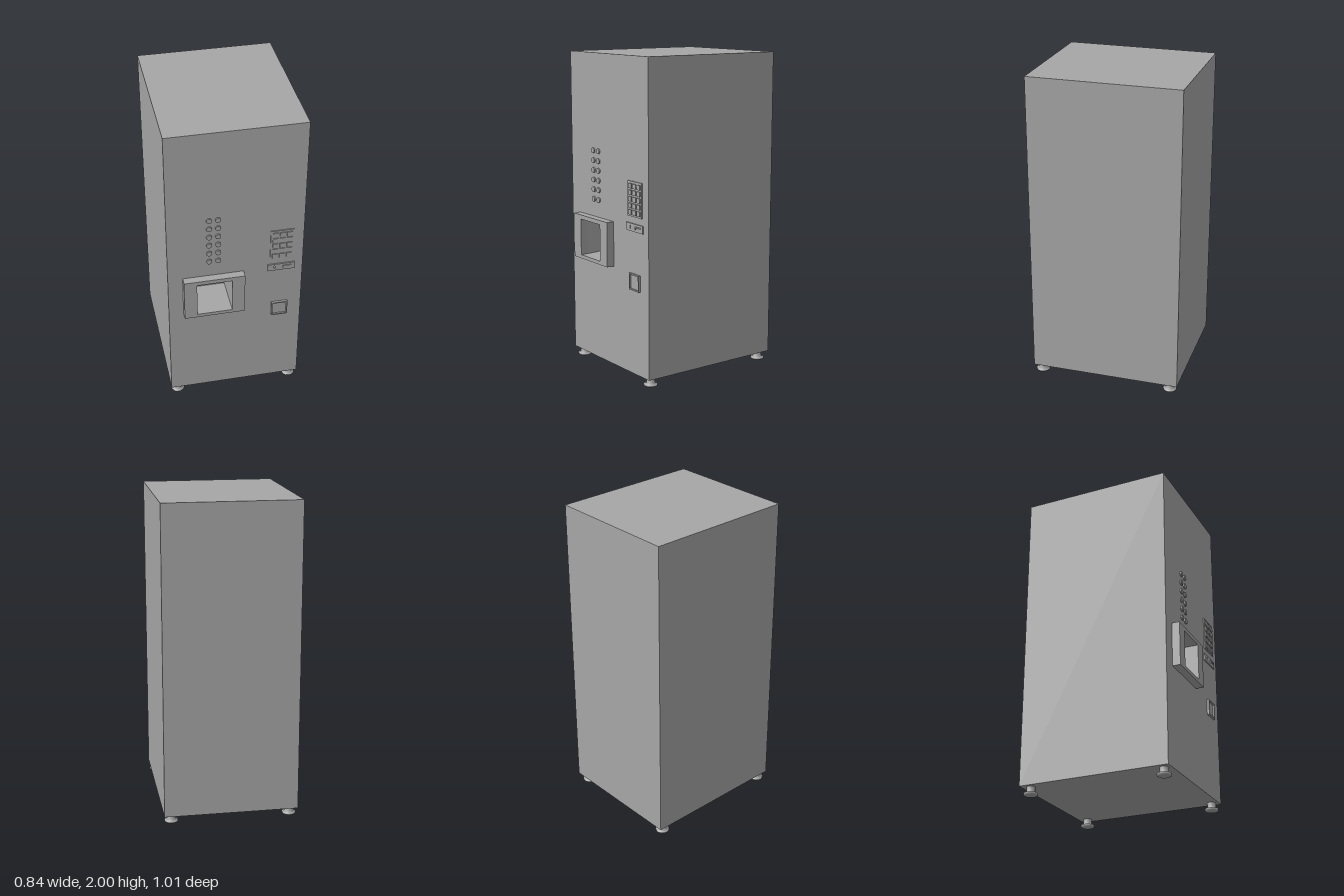
import * as THREE from 'three';

const FRONT = 0.455;
const BACK = -0.505;

// Rectangle given by its left, right, bottom and top
function rect(Type, x0, x1, y0, y1) {
  const r = new Type();
  r.moveTo(x0, y0);
  r.lineTo(x1, y0);
  r.lineTo(x1, y1);
  r.lineTo(x0, y1);
  r.closePath();
  return r;
}

// Flat frame standing out from the front
function frame(outer, inner, depth) {
  const s = rect(THREE.Shape, ...outer);
  s.holes.push(rect(THREE.Path, ...inner));
  return new THREE.ExtrudeGeometry(s, { depth, bevelEnabled: false }).translate(0, 0, FRONT);
}

function box(x0, x1, y0, y1, z0, z1) {
  return new THREE.BoxGeometry(x1 - x0, y1 - y0, z1 - z0)
    .translate((x0 + x1) / 2, (y0 + y1) / 2, (z0 + z1) / 2);
}

// Box without its front (+z) face
function openBox(...b) {
  const g = box(...b);
  const idx = Array.from(g.index.array);
  idx.splice(24, 6);
  g.setIndex(idx);
  g.clearGroups();
  return g;
}

export function createModel() {
  const group = new THREE.Group();
  const grey = new THREE.MeshStandardMaterial({ color: 0xa6a6a6 });
  const add = (name, geometry) => {
    const mesh = new THREE.Mesh(geometry, grey);
    mesh.name = name;
    group.add(mesh);
    return mesh;
  };

  // Cabinet shell and front panel with the dispensing opening
  const W = 0.422, BASE = 0.053;
  const hole = [-0.25, -0.03, 0.715, 0.948];
  add('cabinet', openBox(-W, W, BASE, 2, BACK, FRONT));
  const panel = rect(THREE.Shape, -W, W, BASE, 2);
  panel.holes.push(rect(THREE.Path, ...hole));
  add('frontPanel', new THREE.ShapeGeometry(panel).translate(0, 0, FRONT));

  // Dispensing recess: inward-facing box, slightly narrower at the back
  const recess = openBox(...hole, 0.255, FRONT);
  recess.setIndex(Array.from(recess.index.array).reverse());
  const p = recess.attributes.position;
  for (let i = 0; i < p.count; i++) {
    if (p.getZ(i) > 0.3) continue;
    if (p.getX(i) < -0.2) p.setX(i, -0.243);
    if (p.getY(i) < 0.8) p.setY(i, 0.725);
  }
  recess.computeVertexNormals();
  add('dispensingRecess', recess);
  add('dispensingFrame', frame([-0.33, 0.05, 0.692, 0.975], hole, 0.05));

  // Two columns of selection buttons
  for (const x of [-0.165, -0.11]) {
    for (let row = 0; row < 6; row++) {
      const button = new THREE.CylinderGeometry(0.017, 0.017, 0.01, 24).rotateX(Math.PI / 2);
      add('selectionButton', button.translate(x, 1.394 - row * 0.0615, FRONT + 0.004));
    }
  }

  // Keypad
  add('keypadPlate', box(0.214, 0.36, 1.042, 1.257, FRONT - 0.005, FRONT + 0.006));
  for (let col = 0; col < 3; col++) {
    for (let row = 0; row < 5; row++) {
      const x = 0.243 + col * 0.044, y = 1.228 - row * 0.04;
      add('keypadKey', box(x - 0.017, x + 0.017, y - 0.015, y + 0.015, FRONT, FRONT + 0.012));
    }
  }

  // Coin plate with slot and a small return lever
  add('coinPlate', frame([0.2, 0.37, 0.952, 1], [0.241, 0.247, 0.966, 0.988], 0.008));
  add('returnLever', box(0.295, 0.35, 0.978, 0.986, FRONT, FRONT + 0.013));
  add('returnLeverEnd', box(0.295, 0.302, 0.968, 0.978, FRONT, FRONT + 0.013));

  // Coin return: frame around an inset flap
  add('coinReturnFrame', frame([0.232, 0.335, 0.587, 0.69], [0.24, 0.327, 0.595, 0.682], 0.014));
  add('coinReturnFlap', box(0.24, 0.327, 0.595, 0.682, FRONT - 0.005, FRONT + 0.004));

  // Levelling feet: stem on a wider disc
  const footProfile = [[0, 0], [0.037, 0], [0.043, 0.005], [0.043, 0.015], [0.027, 0.018], [0.027, BASE]]
    .map(([r, y]) => new THREE.Vector2(r, y));
  const footGeometry = new THREE.LatheGeometry(footProfile, 24);
  for (const x of [-0.375, 0.375]) {
    for (const z of [-0.45, 0.41]) add('foot', footGeometry).position.set(x, 0, z);
  }

  return group;
}
